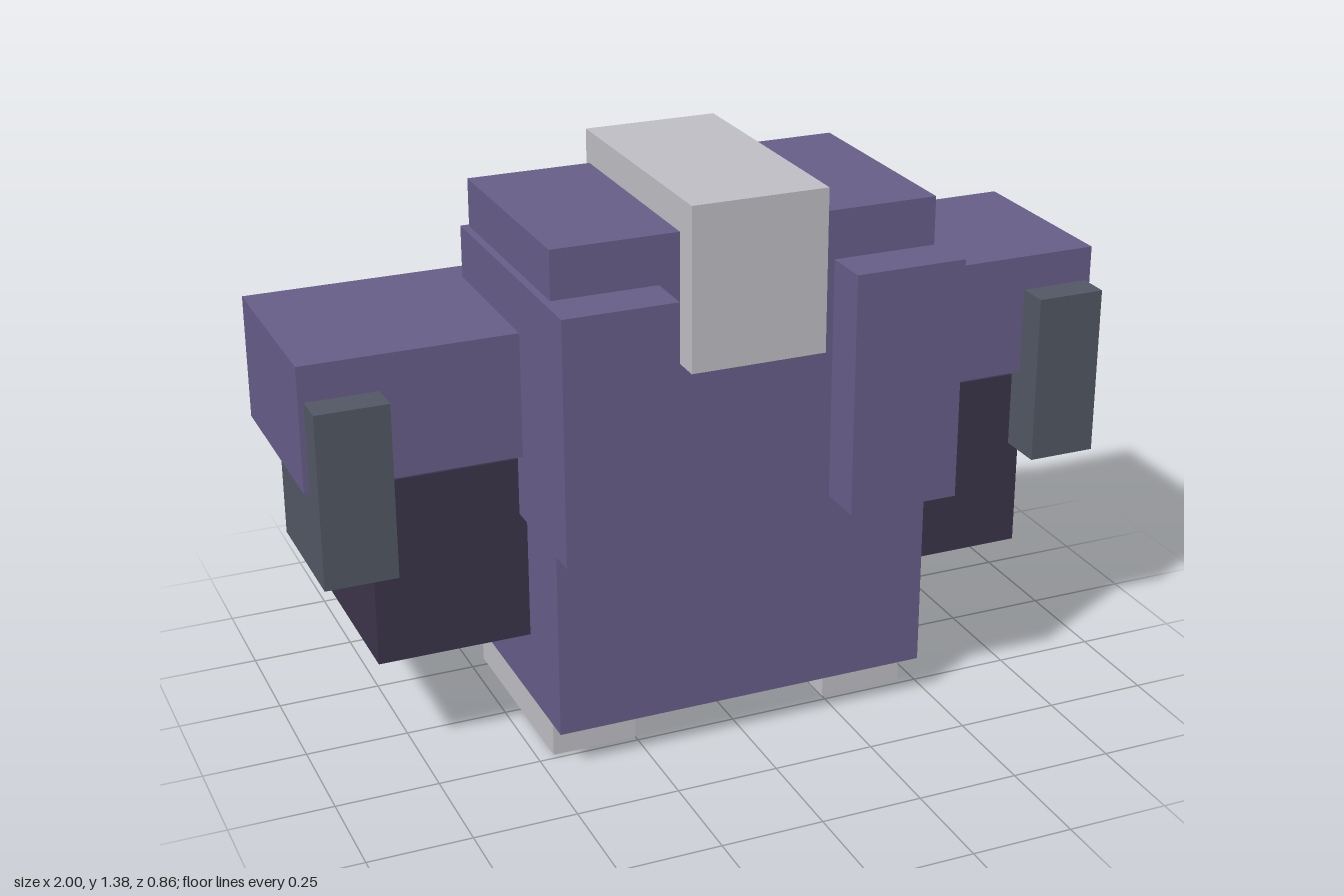
import * as THREE from 'three';

const mat = (name, color) => {
  const m = new THREE.MeshStandardMaterial({ color });
  m.name = name;
  return m;
};

export function createModel() {
  const model = new THREE.Group();
  model.name = 'blockRobot';
  const purple = mat('purple', 0x675d88);
  const dark = mat('darkPurple', 0x3b344a);
  const light = mat('lightGrey', 0xbebdc3);
  const steel = mat('steel', 0x515763);
  const green = mat('green', 0x4a7f66);
  const vent = mat('ventTeal', 0x22303a);

  // Box given by its limits on each axis
  const box = (name, material, [x0, x1], [y0, y1], [z0, z1]) => {
    const mesh = new THREE.Mesh(new THREE.BoxGeometry(x1 - x0, y1 - y0, z1 - z0), material);
    mesh.position.set((x0 + x1) / 2, (y0 + y1) / 2, (z0 + z1) / 2);
    mesh.name = name;
    model.add(mesh);
  };
  // The same box on both sides
  const pair = (name, material, [x0, x1], y, z) => {
    box(name + 'Left', material, [x0, x1], y, z);
    box(name + 'Right', material, [-x1, -x0], y, z);
  };

  // Torso and head
  box('torso', purple, [-0.47, 0.47], [0.1, 1.297], [-0.235, 0.315]);
  box('head', light, [-0.165, 0.165], [0.985, 1.376], [-0.255, 0.381]);
  pair('chestPanel', purple, [0.215, 0.488], [0.59, 1.18], [-0.246, 0.432]);

  // Arms
  pair('upperArm', purple, [0.347, 1], [0.75, 1.052], [-0.322, 0.156]);
  pair('sideBlock', dark, [0.347, 0.843], [0.27, 0.73], [-0.345, 0.12]);
  pair('hand', steel, [0.815, 0.987], [0.543, 0.966], [-0.096, 0.235]);

  // Feet and heels
  pair('foot', light, [0.25, 0.46], [0, 0.43], [-0.282, 0.235]);
  pair('heel', green, [0.285, 0.427], [0, 0.225], [-0.352, -0.27]);

  // Backpack with vents
  box('backpack', dark, [-0.256, 0.256], [0.2, 1.14], [-0.392, -0.23]);
  for (let i = 0; i < 5; i++) {
    const y = 0.32 + i * 0.133;
    box('vent' + (i + 1), vent, [-0.162, 0.162], [y - 0.021, y + 0.021], [-0.416, -0.38]);
  }

  // Eight-pointed gears on the back
  const star = new THREE.Shape(Array.from({ length: 16 }, (_, i) => {
    const a = i * Math.PI / 8, r = i % 2 ? 0.09 : 0.12;
    return new THREE.Vector2(r * Math.cos(a), r * Math.sin(a));
  }));
  const gearGeometry = new THREE.ExtrudeGeometry(star, { depth: 0.11, bevelEnabled: false });
  for (const side of [1, -1]) {
    const gear = new THREE.Mesh(gearGeometry, steel);
    gear.position.set(side * 0.354, 0.836, -0.432);
    gear.name = side > 0 ? 'gearLeft' : 'gearRight';
    model.add(gear);
  }
  return model;
}
